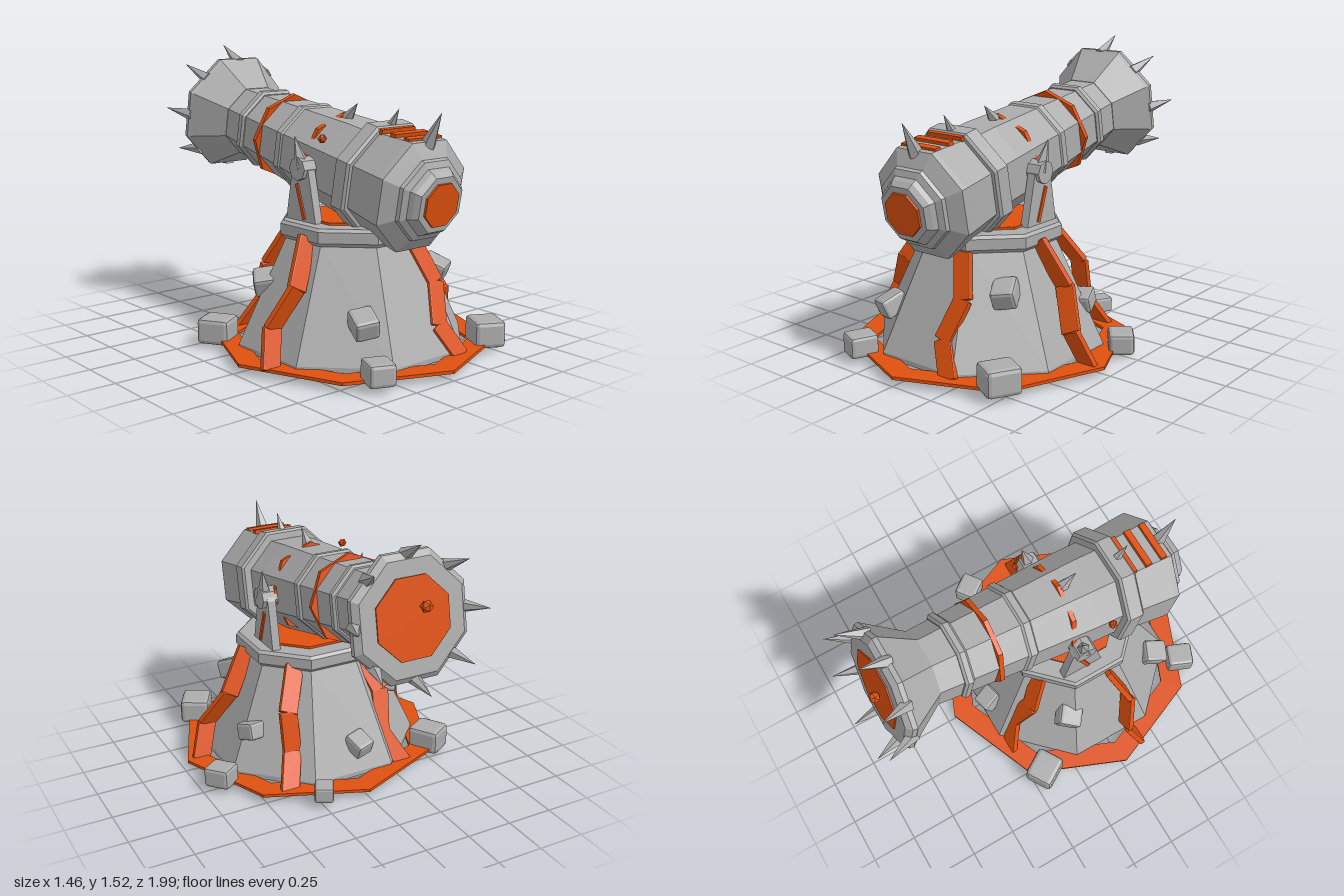
import * as THREE from 'three';
import { RoundedBoxGeometry } from 'three/addons/geometries/RoundedBoxGeometry.js';

const stone = new THREE.MeshStandardMaterial({ color: 0xacacac, flatShading: true });
stone.name = 'grey stone';
const glow = new THREE.MeshStandardMaterial({ color: 0xde500e, flatShading: true });
glow.name = 'lava orange';

const FLAT = Math.cos(Math.PI / 8); // flat-to-corner ratio of an octagon
const CZ = 0.27; // centre of the pedestal

function add(parent, name, geometry, material, x = 0, y = 0, z = 0) {
  const mesh = new THREE.Mesh(geometry, material);
  mesh.name = name;
  mesh.position.set(x, y, z);
  parent.add(mesh);
  return mesh;
}

// Eight-sided turned solid; radii are measured to the flats, faces square to the axes
function octagonLathe(profile) {
  const points = profile.map(([r, y]) => new THREE.Vector2(r / FLAT, y));
  return new THREE.LatheGeometry(points, 8, Math.PI / 8);
}

// Cone running from a base point to a tip
function spike(parent, name, base, tip, radius, sides = 5) {
  const a = new THREE.Vector3(...base), dir = new THREE.Vector3(...tip).sub(a);
  const length = dir.length();
  const geometry = new THREE.ConeGeometry(radius, length, sides).translate(0, length / 2, 0);
  const mesh = add(parent, name, geometry, stone, ...base);
  mesh.quaternion.setFromUnitVectors(new THREE.Vector3(0, 1, 0), dir.normalize());
}

// Zigzag of thin slabs along a path, their broad side kept across x
function crack(parent, path) {
  const group = new THREE.Group();
  group.name = 'lavaCrack';
  parent.add(group);
  for (let i = 0; i < path.length - 1; i++) {
    const a = new THREE.Vector3(...path[i]), b = new THREE.Vector3(...path[i + 1]);
    const along = b.clone().sub(a);
    const length = along.length() + 0.01;
    along.normalize();
    const across = new THREE.Vector3(1, 0, 0).addScaledVector(along, -along.x).normalize();
    const out = across.clone().cross(along);
    const slab = add(group, 'crackSegment', new RoundedBoxGeometry(0.1, length, 0.032, 1, 0.006), glow);
    slab.quaternion.setFromRotationMatrix(new THREE.Matrix4().makeBasis(across, along, out));
    slab.position.copy(a).add(b).multiplyScalar(0.5);
  }
}

function buildPedestal(root) {
  // Flat ring on the ground
  const ringShape = new THREE.Shape();
  const hole = new THREE.Path();
  for (let i = 0; i < 8; i++) {
    const c = Math.cos(i * Math.PI / 4), s = Math.sin(i * Math.PI / 4);
    ringShape[i ? 'lineTo' : 'moveTo'](0.73 * c, 0.73 * s);
    hole[i ? 'lineTo' : 'moveTo'](0.605 * c, 0.605 * s);
  }
  ringShape.closePath();
  hole.closePath();
  ringShape.holes.push(hole);
  const ring = new THREE.ExtrudeGeometry(ringShape, { depth: 0.016, bevelEnabled: false });
  add(root, 'groundRing', ring.rotateX(-Math.PI / 2), glow, 0, 0.028, CZ);

  // Tapered body and collar
  add(root, 'pedestal', octagonLathe([[0, 0.03], [0.56, 0.03], [0.56, 0.055], [0.325, 0.6], [0, 0.6]]), stone, 0, 0, CZ);
  add(root, 'collar', octagonLathe([[0, 0.59], [0.335, 0.59], [0.355, 0.61], [0.355, 0.665], [0.34, 0.68],
    [0.29, 0.68], [0, 0.68]]), stone, 0, 0, CZ);
  add(root, 'collarPlate', octagonLathe([[0, 0.675], [0.25, 0.675], [0.25, 0.692], [0, 0.692]]), glow, 0, 0, CZ);

  // Cracks down the slopes
  crack(root, [[0.1, 0.61, 0.59], [0.18, 0.385, 0.685], [0.125, 0.19, 0.77], [0.215, 0.03, 0.84]]);
  crack(root, [[0.345, 0.62, 0.305], [0.475, 0.4, 0.255], [0.58, 0.21, 0.345], [0.645, 0.03, 0.285]]);
  crack(root, [[0.2, 0.61, 0.01], [0.3, 0.41, -0.11], [0.3, 0.2, -0.15], [0.37, 0.02, -0.26]]);
  crack(root, [[-0.18, 0.61, 0], [-0.26, 0.41, -0.1], [-0.22, 0.2, -0.19], [-0.32, 0.02, -0.27]]);
  crack(root, [[-0.345, 0.62, 0.32], [-0.475, 0.4, 0.4], [-0.58, 0.21, 0.34], [-0.645, 0.03, 0.41]]);

  // Loose stones: x, y, z, size, turn, tilt
  [[-0.545, 0.08, -0.17, 0.16, 0.55, 0], [0.645, 0.075, 0, 0.13, 0.65, 0.05], [0.475, 0.09, 0.77, 0.165, -0.5, 0],
    [-0.36, 0.08, 0.86, 0.135, -0.4, 0], [0.24, 0.07, -0.4, 0.1, -0.5, 0], [-0.405, 0.36, 0.06, 0.12, -0.6, 0.4],
    [0.44, 0.265, 0.05, 0.11, 0.35, 0.3], [0.325, 0.41, 0.54, 0.125, 0.5, 0.4], [-0.3, 0.26, 0.69, 0.125, -0.35, 0.4],
    [-0.05, 0.2, -0.25, 0.11, 0.3, -0.4]].forEach(([x, y, z, s, turn, tilt]) => {
    const rock = add(root, 'stoneBlock', new RoundedBoxGeometry(s, s * 0.85, s * 1.1, 1, s * 0.14), stone, x, y, z);
    rock.rotation.set(tilt, turn, tilt * 0.4, 'YXZ');
  });
}

function buildBarrel(root) {
  // Local frame: front face at the origin, barrel running back along -z
  const barrel = new THREE.Group();
  barrel.name = 'barrel';
  barrel.position.set(0, 0.827, 0.89);
  barrel.rotation.x = 0.185;
  root.add(barrel);
  const turned = (name, profile, material) =>
    add(barrel, name, octagonLathe(profile).rotateX(-Math.PI / 2), material);

  turned('breechCap', [[0, 0], [0.135, 0], [0.155, 0.025], [0.165, 0.05], [0.195, 0.065], [0.2, 0.085],
    [0.272, 0.13], [0.272, 0.16], [0.254, 0.365], [0, 0.365]], stone);
  turned('barrelTube', [[0, 0.36], [0.238, 0.36], [0.235, 0.6], [0.182, 1.5], [0, 1.5]], stone);
  [[0.41, 0.285, 0.05], [0.98, 0.222, 0.03], [1.335, 0.21, 0.026]].forEach(([s, r, h]) =>
    turned('barrelBand', [[0, s - h], [r - 0.012, s - h], [r, s - h + 0.012], [r, s + h - 0.012],
      [r - 0.012, s + h], [0, s + h]], stone));
  turned('muzzleFlare', [[0, 1.49], [0.185, 1.49], [0.297, 1.67], [0.308, 1.685], [0.305, 1.71],
    [0.275, 1.735], [0, 1.735]], stone);
  turned('breechPlate', [[0, -0.012], [0.105, -0.012], [0.105, 0.005], [0, 0.005]], glow);
  turned('muzzlePlate', [[0, 1.73], [0.195, 1.73], [0.195, 1.742], [0, 1.742]], glow);

  // Orange hoops with a corner uppermost, so the barrel edges break through
  [[0.74, 0.248], [1.16, 0.238]].forEach(([s, r]) =>
    add(barrel, 'lavaHoop', new THREE.CylinderGeometry(r, r, 0.025, 8).rotateX(Math.PI / 2), glow, 0, 0, -s));

  // Vent bars on the breech
  [0.177, 0.268, 0.36].forEach((s) =>
    add(barrel, 'ventBar', new THREE.BoxGeometry(0.22, 0.03, 0.036), glow, 0, 0.275 - s * 0.035, -s));

  // Crown of spikes around the muzzle
  for (let i = 0; i < 8; i++) {
    const c = Math.cos(i * Math.PI / 4), s = Math.sin(i * Math.PI / 4);
    spike(barrel, 'muzzleSpike', [0.285 * s, 0.285 * c, -1.685], [0.352 * s, 0.352 * c, -1.85], 0.038);
  }
}

function buildMounts(root) {
  // Forward-leaning spikes along the top
  spike(root, 'topSpike', [0, 1.1, 0.8], [0, 1.262, 0.888], 0.04);
  spike(root, 'topSpike', [0, 1.12, 0.52], [0, 1.258, 0.604], 0.038);
  spike(root, 'topSpike', [0, 1.15, 0.2], [0, 1.262, 0.305], 0.045);

  // Tapered uprights either side of the barrel
  const side = new THREE.Shape([[-0.32, 0.67], [-0.085, 0.67], [-0.135, 0.94], [-0.16, 0.985], [-0.235, 0.985], [-0.26, 0.94]]
    .map(([x, y]) => new THREE.Vector2(x, y)));
  const plate = new THREE.ExtrudeGeometry(side, { depth: 0.045, bevelEnabled: false })
    .translate(0, 0, -0.0225).rotateY(Math.PI / 2);
  for (const sx of [-1, 1]) {
    const name = sx > 0 ? 'left' : 'right';
    add(root, name + 'Upright', plate, stone, sx * 0.265, 0, 0);
    const pin = new THREE.CylinderGeometry(0.06, 0.06, 0.14, 8).rotateZ(Math.PI / 2);
    add(root, name + 'Pin', pin, stone, sx * 0.24, 0.945, 0.2);
    const strip = add(root, name + 'UprightCrack', new THREE.BoxGeometry(0.009, 0.185, 0.02), glow, sx * 0.291, 0.78, 0.205);
    strip.rotation.x = -0.33;
    spike(root, name + 'UprightSpike', [sx * 0.275, 0.95, 0.2], [sx * 0.3, 1.11, 0.17], 0.045);
  }

  // Floating embers
  add(root, 'ember', new THREE.IcosahedronGeometry(0.024, 0), glow, -0.28, 1.11, 0.36);
  add(root, 'ember', new THREE.IcosahedronGeometry(0.032, 0), glow, -0.05, 1.205, -0.847);
}

export function createModel() {
  const root = new THREE.Group();
  root.name = 'spikedCannon';
  buildPedestal(root);
  buildBarrel(root);
  buildMounts(root);
  return root;
}
